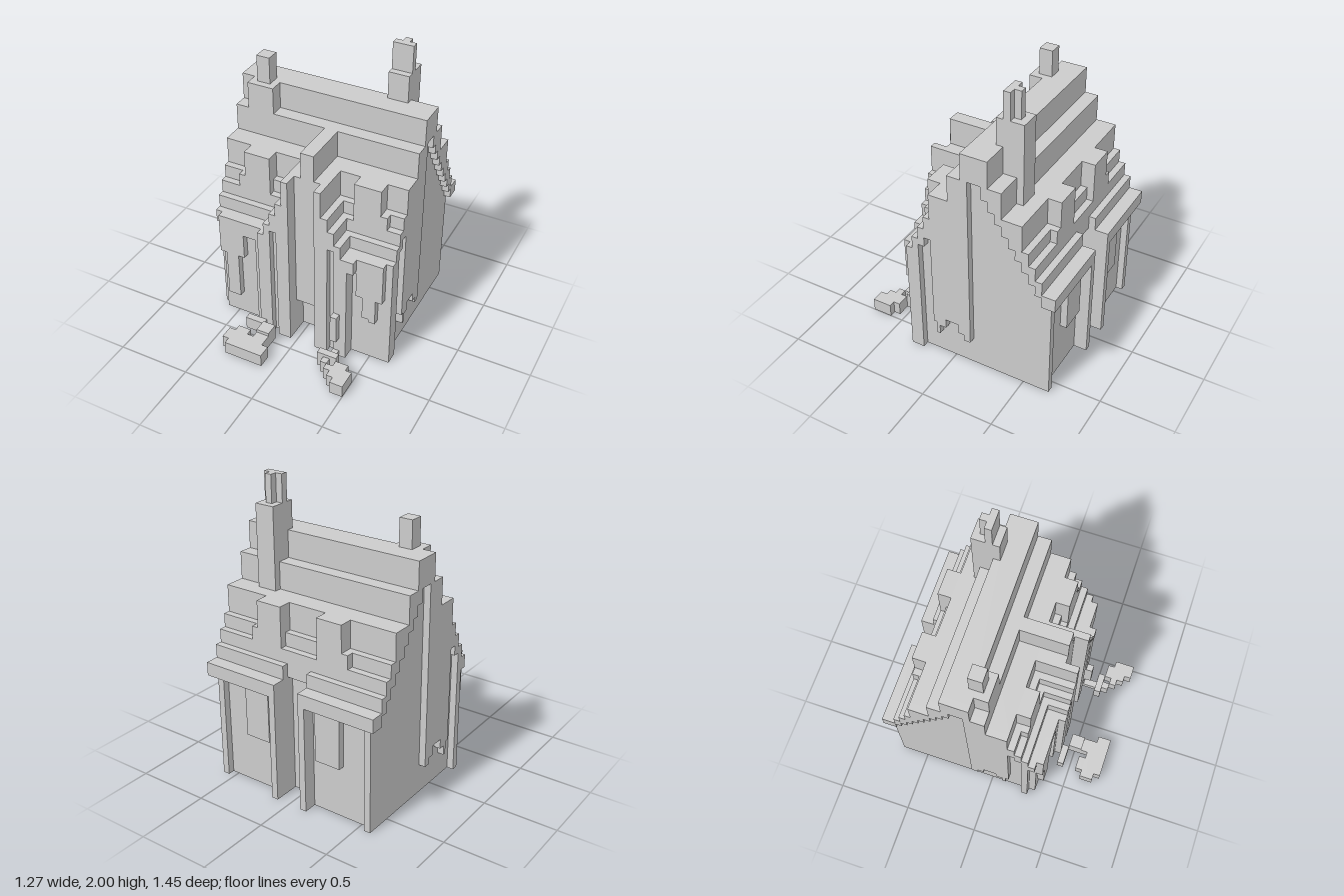
import * as THREE from 'three';

// The house is laid out on a grid of small cubes, 22 to a unit.
const U = 1 / 22;
const mat = new THREE.MeshStandardMaterial({ color: 0xcccccc, flatShading: true });

export function createModel() {
  const model = new THREE.Group();

  // Box given by its limits on the grid
  function box(name, x0, x1, y0, y1, z0, z1) {
    const geo = new THREE.BoxGeometry((x1 - x0) * U, (y1 - y0) * U, (z1 - z0) * U);
    geo.translate((x0 + x1) / 2 * U, (y0 + y1) / 2 * U, (z0 + z1) / 2 * U);
    const mesh = new THREE.Mesh(geo, mat);
    mesh.name = name;
    model.add(mesh);
  }
  // Same box on both sides of x = c
  function pair(name, x0, x1, y0, y1, z0, z1, c = 0) {
    box(name, x0, x1, y0, y1, z0, z1);
    box(name, 2 * c - x1, 2 * c - x0, y0, y1, z0, z1);
  }

  // Walls
  box('mainWalls', -13, 13, 0, 18, -12, 5);
  pair('backBay', 2, 13, 0, 18, -14, -12);
  pair('frontWall', 3, 13, 0, 18, 5, 7);
  box('frontCornerPillar', 13, 14, 0, 18, 5, 7);
  box('frontCornerPillar', -14, -13, 0, 18, 5, 6);
  box('frontCornerEave', -14, -13, 16, 18, 6, 7);
  pair('backCornerPilaster', 12, 13, 0, 16, -15, -14);
  pair('backInnerPilaster', 2, 3, 0, 16, -16, -14);
  pair('backShutter', 4, 8, 8, 16, -15, -14);

  // Roof terraces: top, bottom, back and front limits
  const terraces = [
    [36, 32, -6, -2], [32, 28, -8, 0], [28, 24, -11, 3],
    [24, 22, -12, 4], [22, 20, -13, 5], [20, 18, -13, 6],
  ];
  for (const [top, bottom, back, front] of terraces)
    box('roofTerrace', -13, 13, bottom, top, back, front);
  pair('backRoofStep', 2, 13, 18, 20, -14, -13);
  pair('backEave', 2, 13, 16, 18, -16, -14);
  pair('frontEave', 9, 13, 16, 18, 7, 8);
  pair('backDormer', 3, 7, 20, 28, -13, -11);
  pair('backDormerSill', 7, 8, 20, 24, -13, -11);

  // Stepped roof edge and upper side wall, one cube proud of the lower wall
  const pts = [];
  for (const [top, bottom, back] of terraces.slice(0, 5)) pts.push([back, top], [back, bottom]);
  pts.push([-14, 20], [-14, 18], [-16, 18], [-16, 16], [-14, 16]);
  for (let k = 8; k >= 0; k--) {
    const y = 30 - k * 1.55;
    pts.push([-6 - k, y], [-5 - k, y]);
  }
  pts.push([-5, 32], [-3, 32], [-3, 4.5], [-2, 4.5], [-2, 5.5], [-1, 5.5], [-1, 7],
    [1, 7], [1, 5.5], [2, 5.5], [2, 4], [2.5, 4], [2.5, 6], [3, 6],
    [3, 20.5], [4, 20.5], [4, 19], [5, 19], [5, 18], [6, 18],
    [6, 20], [5, 20], [5, 22], [4, 22], [4, 24], [3, 24], [3, 28],
    [0, 28], [0, 32], [-2, 32], [-2, 36]);
  const outline = pts.map(([z, y]) => new THREE.Vector2(-z * U, y * U));
  for (const x of [-14, 13]) {
    const geo = new THREE.ExtrudeGeometry(new THREE.Shape(outline),
      { depth: U, bevelEnabled: false });
    geo.rotateY(Math.PI / 2);
    geo.translate(x * U, 0, 0);
    const edge = new THREE.Mesh(geo, mat);
    edge.name = 'gableEdge';
    model.add(edge);
  }

  // Front dormers
  box('frontDormer', -10, -6, 20, 28, 3, 5);
  box('frontDormer', 7, 11, 20, 28, 3, 5);
  box('frontDormerSill', -11, -10, 20, 24, 3, 5);
  box('frontDormerSill', 11, 12, 20, 24, 3, 5);

  // Front gable, centred on x = 1, stepping down on both sides
  const C = 1;
  box('gableRidge', 0, 2, 28, 32, 0, 7);
  box('gableTop', -2, 4, 24, 28, 3, 7);
  box('gableFront', -1, 3, 6, 24, 5, 7);
  pair('doorPillar', 3, 4, 0, 28, 3, 9, C);
  pair('doorPillarOuter', 4, 5, 0, 24, 3, 9, C);
  pair('gableStep', 5, 6, 19, 22, 4, 9, C);
  pair('gableStep', 6, 7, 18, 20, 5, 9, C);
  pair('gableWall', 5, 6, 0, 19, 6, 8, C);
  box('gableWallLeft', 6, 8, 0, 18, 6, 9);
  box('gableEaveLeft', 8, 9, 16, 18, 6, 9);
  box('gableWallRight', -6, -4, 0, 18, 6, 9);
  box('gableEaveRight', -9, -6, 16, 18, 6, 8);
  box('gableWallSide', -7, -6, 0, 16, 6, 8);

  // Creepers hanging from the front eaves: x limits and lower end
  for (const [x0, x1, y] of [[-13, -12, 11.6], [-12, -10, 4], [-10, -9, 11.6], [-9, -7, 15.6],
    [8, 9, 15.6], [9, 10, 11.6], [10, 11, 8], [11, 12, 7.5], [12, 13, 11.6]])
    box('creeper', x0, x1, y, 16, 7, 8);
  box('wallLantern', 6, 7, 3.5, 8, 9, 10);

  // Chimneys
  box('smallChimneyBase', -12, -8, 32, 36, -2, 0);
  box('smallChimney', -11, -9, 36, 40, -3, -1);
  box('tallChimney', 7, 10, 27, 40, -9, -5);
  box('chimneyPot', 7, 10, 40, 44, -7, -6);
  box('chimneyPotBack', 8, 9, 40, 44, -8, -7);

  // Low plants on the ground in front: x and z limits, height
  const plants = [
    [-8, -5, 9, 10, 2], [-5, -3, 10, 12, 2.5], [-5, -3, 12, 13, 2],
    [-8, -6, 12, 13, 2], [-9, -3, 13, 14, 2], [-9, -2, 14, 15, 2], [-8, -2, 15, 16, 2],
    [6, 7, 9, 11, 1], [5, 8, 11, 12, 2.5], [6, 7, 12, 13, 2],
    [8, 10, 12, 13, 2], [7, 11, 13, 14, 2], [8, 11, 14, 15, 2], [9, 11, 15, 16, 2],
  ];
  for (const [x0, x1, z0, z1, h] of plants) box('groundPlant', x0, x1, 0, h, z0, z1);

  return model;
}
